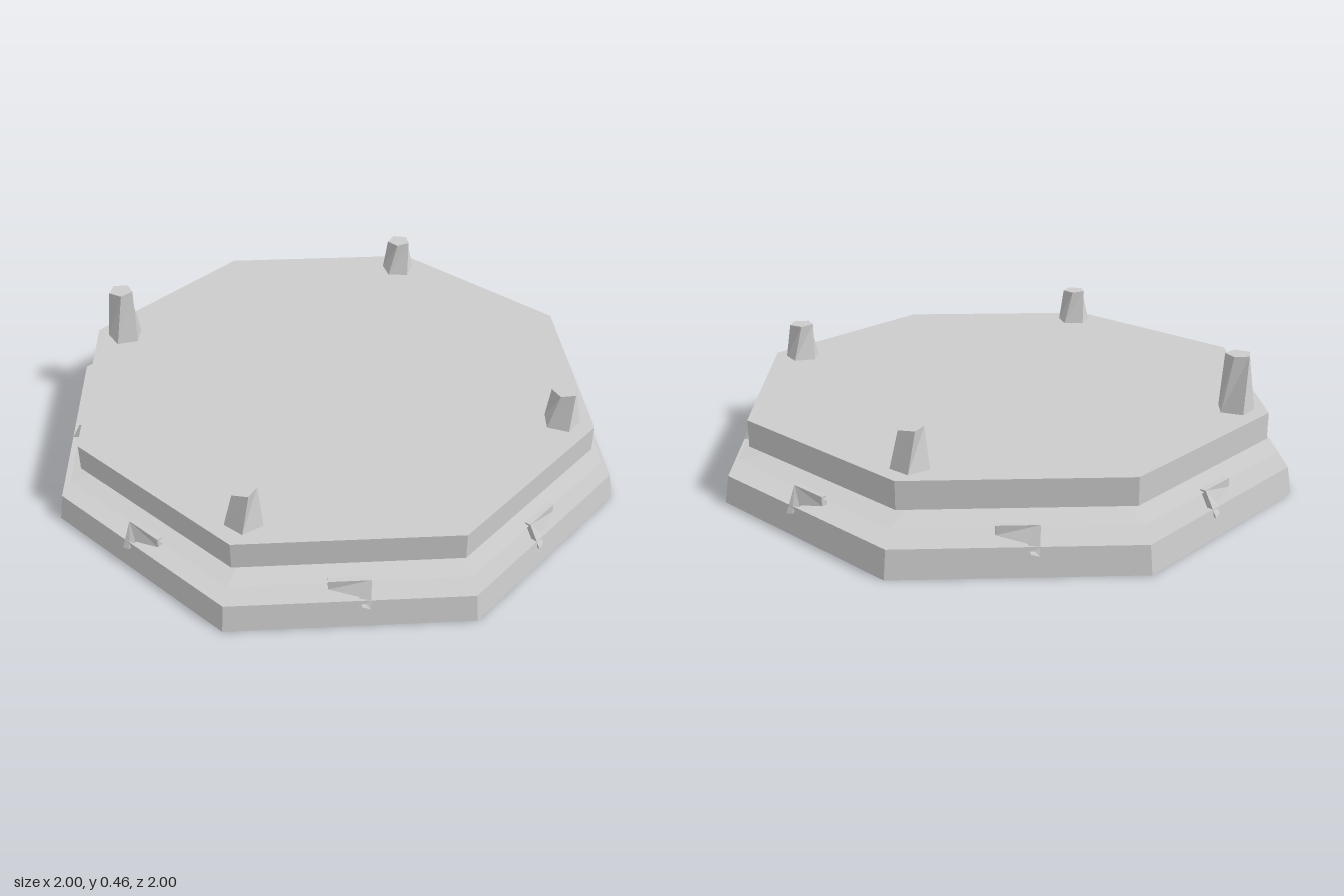
import * as THREE from 'three';

const material = new THREE.MeshStandardMaterial({ color: 0xcccccc, flatShading: true, side: THREE.DoubleSide });

function addMesh(parent, name, geometry) {
  const mesh = new THREE.Mesh(geometry, material);
  mesh.name = name;
  parent.add(mesh);
  return mesh;
}

// Octagonal slab with corners on the x and z axes
function slab(parent, name, rBottom, rTop, y0, y1) {
  addMesh(parent, name, new THREE.CylinderGeometry(rTop, rBottom, y1 - y0, 8)).position.y = (y0 + y1) / 2;
}

// Five-sided tapered post, its top twisted against its foot
function postGeometry(height) {
  const g = new THREE.CylinderGeometry(0.043, 0.062, height, 5);
  const p = g.attributes.position;
  const v = new THREE.Vector3();
  const up = new THREE.Vector3(0, 1, 0);
  for (let i = 0; i < p.count; i++) {
    v.fromBufferAttribute(p, i);
    if (v.y > 0) v.applyAxisAngle(up, 0.5);
    p.setXYZ(i, v.x, v.y + height / 2, v.z);
  }
  return g;
}

// Flat arm with a hook at one end that leans out over the base rim
function clipGeometry(side) {
  const points = [[-0.065, 0.145], [-0.065, 0.115], [-0.02, 0.105], [0.025, 0.095],
    [0.035, 0.07], [0.06, 0.065], [0.065, 0.145]];
  const shape = new THREE.Shape(points.map(([x, y]) => new THREE.Vector2(x * side, y)));
  const g = new THREE.ExtrudeGeometry(shape, { depth: 0.02, bevelEnabled: false });
  const p = g.attributes.position;
  for (let i = 0; i < p.count; i++) {
    const lean = Math.max(0, 0.115 - p.getY(i));
    p.setZ(i, p.getZ(i) + 0.862 + lean * 0.8);
  }
  return g;
}

export function createModel() {
  const model = new THREE.Group();
  model.name = 'octagonalPlatform';

  // Three stacked layers
  slab(model, 'baseSlab', 1, 0.985, 0, 0.09);
  slab(model, 'middlePlate', 0.95, 0.7, 0.138, 0.162);
  slab(model, 'topSlab', 0.91, 0.91, 0.18, 0.27);

  // Clips along the eight edges, mirrored in pairs
  for (let i = 0; i < 8; i++) {
    const clip = addMesh(model, 'edgeClip', clipGeometry(i % 2 ? -1 : 1));
    clip.rotation.y = Math.PI / 8 + i * Math.PI / 4;
  }

  // Four posts near the corners, the one on the right taller
  for (let i = 0; i < 4; i++) {
    const a = i * Math.PI / 2;
    const post = addMesh(model, 'cornerPost', postGeometry(i === 3 ? 0.19 : 0.125));
    post.position.set(0.8 * Math.sin(a), 0.27, 0.8 * Math.cos(a));
    post.rotation.y = a + 0.3;
  }

  return model;
}
